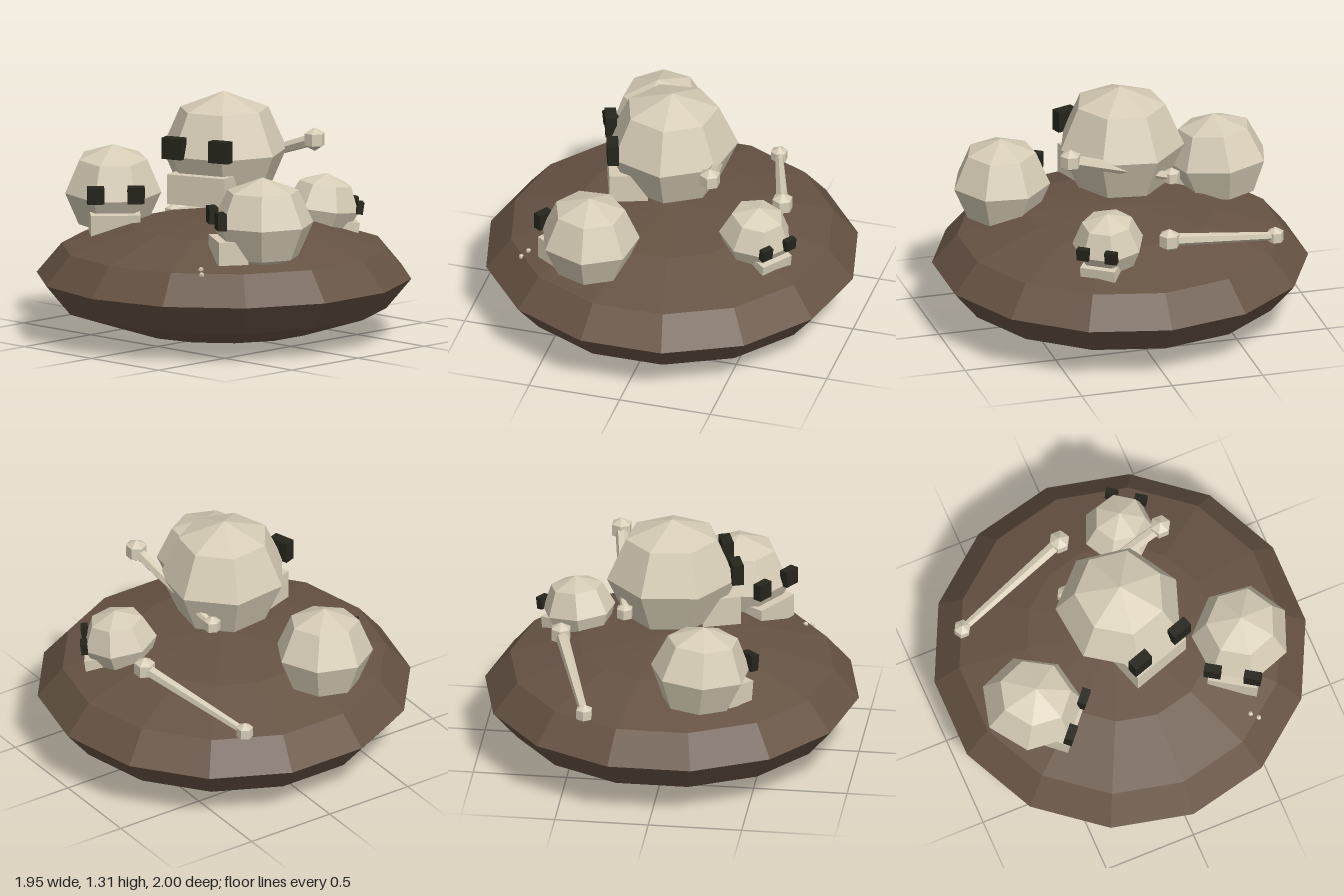
import * as THREE from 'three';

const flat = (name, hex) => {
  const m = new THREE.MeshStandardMaterial({ color: hex, flatShading: true });
  m.name = name;
  return m;
};

export function createModel() {
  const earth = flat('earth', 0x665344);
  const bone = flat('bone', 0xd6ccb6);
  const socket = flat('socket', 0x25251c);

  const model = new THREE.Group();
  model.name = 'bonePile';

  const add = (parent, name, geometry, material, x = 0, y = 0, z = 0) => {
    const mesh = new THREE.Mesh(geometry, material);
    mesh.name = name;
    mesh.position.set(x, y, z);
    parent.add(mesh);
    return mesh;
  };

  // Flattened fourteen-sided mound
  const moundShape = new THREE.SphereGeometry(1, 14, 6).rotateY(Math.PI / 2).scale(1, 0.32, 1);
  add(model, 'mound', moundShape, earth, 0, 0.32, 0);

  // Skull of radius r: cranium, jaw and two eye sockets, facing its own +z
  const addSkull = (name, r, [x, y, z], turn, nod = 0) => {
    const skull = new THREE.Group();
    skull.name = name;
    skull.position.set(x, y, z);
    skull.rotation.set(nod, turn, 0, 'YXZ');
    const craniumShape = new THREE.SphereGeometry(r, 7, 4).rotateY(-Math.PI / 2).scale(1.05, 1, 1.1);
    add(skull, 'cranium', craniumShape, bone);
    add(skull, 'jaw', new THREE.BoxGeometry(1.06 * r, 0.5 * r, 0.64 * r), bone, 0, -0.53 * r, 0.74 * r);
    for (const side of [-1, 1]) {
      add(skull, side > 0 ? 'leftEye' : 'rightEye',
        new THREE.BoxGeometry(0.36 * r, 0.36 * r, 0.19 * r), socket, side * 0.43 * r, 0.16 * r, r);
    }
    model.add(skull);
  };
  addSkull('topSkull', 0.32, [0, 0.995, 0], 0.32);
  addSkull('rightSkull', 0.25, [-0.605, 0.735, 0.23], 0.85, 0.1);
  addSkull('leftSkull', 0.25, [0.575, 0.708, 0.29], -0.58);
  addSkull('backSkull', 0.183, [0.215, 0.65, -0.525], 2.53, 0.14);

  // Long bone: tapered shaft from a thin end to a thick end, with a knob on each
  const addLongBone = (name, thinEnd, thickEnd) => {
    const a = new THREE.Vector3(...thinEnd);
    const b = new THREE.Vector3(...thickEnd);
    const direction = b.clone().sub(a);
    const group = new THREE.Group();
    group.name = name;
    const shaft = add(group, 'shaft', new THREE.CylinderGeometry(0.035, 0.022, direction.length(), 6), bone);
    shaft.position.copy(a).add(b).multiplyScalar(0.5);
    shaft.quaternion.setFromUnitVectors(new THREE.Vector3(0, 1, 0), direction.normalize());
    add(group, 'smallKnob', new THREE.SphereGeometry(0.052, 6, 3), bone, ...thinEnd);
    add(group, 'largeKnob', new THREE.SphereGeometry(0.064, 6, 3), bone, ...thickEnd);
    model.add(group);
  };
  addLongBone('lyingBone', [-0.75, 0.515, -0.375], [-0.105, 0.655, -0.58]);
  addLongBone('leaningBone', [-0.22, 0.86, -0.225], [0.365, 1.06, -0.315]);

  // Bone chips poking out of the soil
  for (const [x, y, z] of [[0.475, 0.495, 0.655], [0.51, 0.475, 0.685]]) {
    add(model, 'boneChip', new THREE.SphereGeometry(0.015, 5, 3), bone, x, y, z);
  }

  return model;
}
